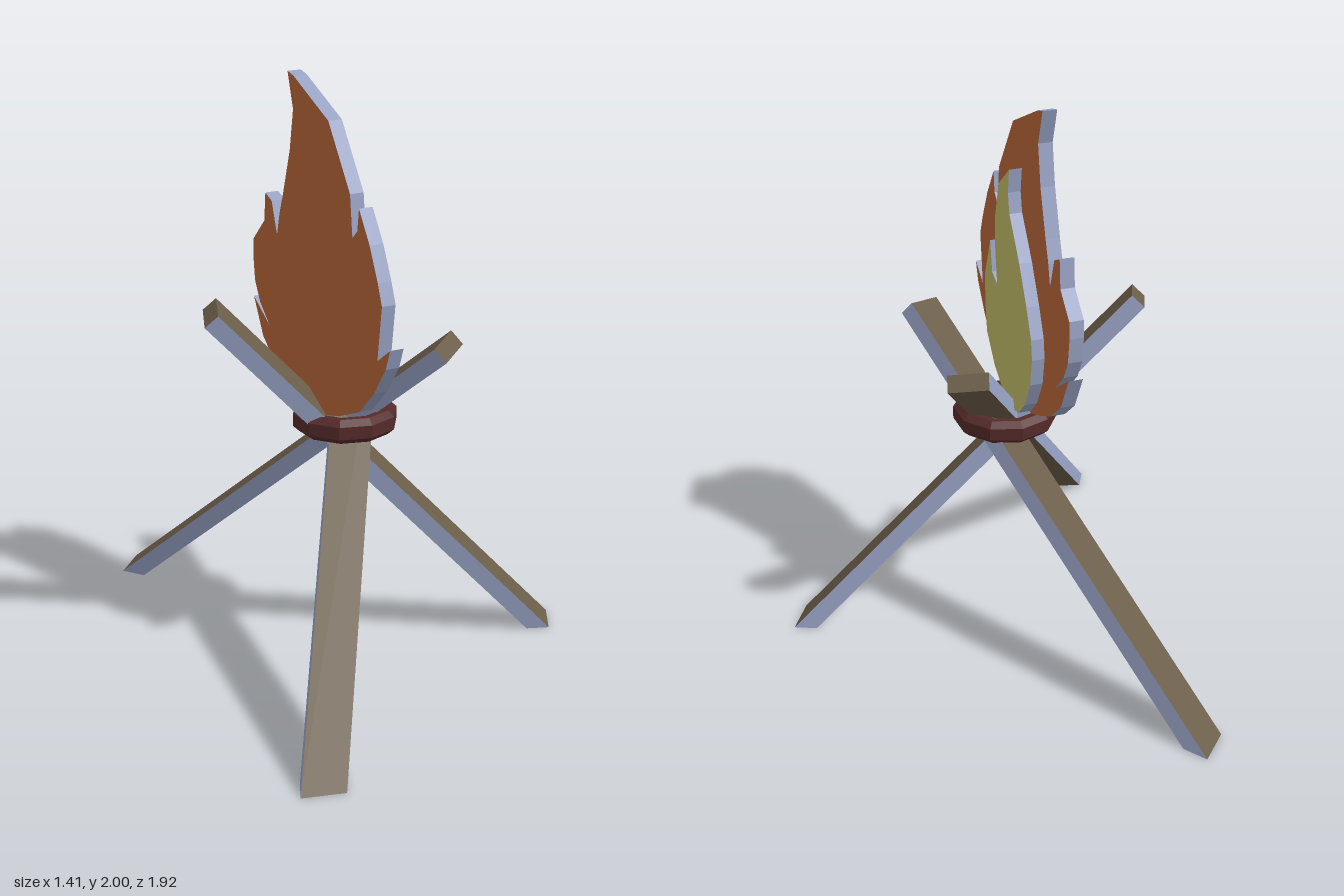
import * as THREE from 'three';

const paint = (color) => new THREE.MeshStandardMaterial({ color, flatShading: true });

// Square-cut log leaning from its ground point to its tip; the foot is cut level with the ground.
function makeLog(name, foot, tip, roll, faceMat, sideMat) {
  const width = 0.14, thickness = 0.06;
  const base = new THREE.Vector3(...foot);
  const d = new THREE.Vector3(...tip).sub(base);
  const length = d.length();
  d.normalize();
  const u = new THREE.Vector3(0, 1, 0).cross(d).normalize().applyAxisAngle(d, roll);
  const v = u.clone().cross(d);

  const geo = new THREE.BoxGeometry(width, 1, thickness);
  const pos = geo.attributes.position;
  const p = new THREE.Vector3();
  for (let i = 0; i < pos.count; i++) {
    const isTip = pos.getY(i) > 0;
    p.copy(base).addScaledVector(u, pos.getX(i)).addScaledVector(v, pos.getZ(i));
    // tips are square, feet slide along the log until they touch the ground
    p.addScaledVector(d, isTip ? length : -p.y / d.y);
    pos.setXYZ(i, p.x, p.y, p.z);
  }
  geo.computeVertexNormals();
  const mesh = new THREE.Mesh(geo, [sideMat, sideMat, faceMat, faceMat, faceMat, faceMat]);
  mesh.name = name;
  return mesh;
}

// Flat flame cut-out, outline given as [z, y], standing in a plane facing x.
function makeFlame(name, outline, x, depth, faceMat, sideMat) {
  const shape = new THREE.Shape(outline.map(([z, y]) => new THREE.Vector2(-z, y)));
  const geo = new THREE.ExtrudeGeometry(shape, { depth, bevelEnabled: false });
  geo.rotateY(Math.PI / 2);
  const mesh = new THREE.Mesh(geo, [faceMat, sideMat]);
  mesh.position.x = x;
  mesh.name = name;
  return mesh;
}

export function createModel() {
  const model = new THREE.Group();
  model.name = 'tripodTorch';
  const wood = paint(0x6b5d49);
  const edge = paint(0x98a2c4);
  const rope = paint(0x552a2a);
  const orange = paint(0xb8673a);
  const yellow = paint(0xc0bc66);

  // Three crossing logs
  model.add(
    makeLog('leftLog', [0.62, 0, 0.27], [-0.515, 1.255, -0.03], -0.22, wood, edge),
    makeLog('frontLog', [-0.62, 0, 0.88], [0.175, 1.14, -0.235], 0.2, wood, edge),
    makeLog('backLog', [-0.42, 0, -0.885], [0.145, 1.145, 0.38], 0.25, wood, edge),
  );

  // Faceted binding ring around the crossing
  const profile = [
    [0.115, -0.022], [0.135, -0.042], [0.158, -0.042], [0.18, -0.022],
    [0.18, 0.022], [0.158, 0.042], [0.135, 0.042], [0.115, 0.022], [0.115, -0.022],
  ].map(([r, y]) => new THREE.Vector2(r, y));
  const ring = new THREE.Mesh(new THREE.LatheGeometry(profile, 10), rope);
  ring.position.set(-0.06, 0.843, 0.06);
  ring.name = 'bindingRing';
  model.add(ring);

  // Large outer flame
  model.add(makeFlame('outerFlame', [
    [0.06, 0.87], [0.2, 0.905], [0.33, 0.96], [0.42, 1.05], [0.49, 1.15], [0.515, 1.22],
    [0.44, 1.165], [0.465, 1.35], [0.44, 1.42], [0.39, 1.53], [0.325, 1.635], [0.315, 1.56],
    [0.285, 1.53], [0.27, 1.67], [0.135, 1.88], [-0.09, 1.99], [-0.13, 2.0], [-0.095, 1.88],
    [-0.12, 1.74], [-0.17, 1.58], [-0.195, 1.51], [-0.215, 1.43], [-0.25, 1.54], [-0.295, 1.56],
    [-0.305, 1.46], [-0.385, 1.38], [-0.39, 1.32], [-0.38, 1.23], [-0.345, 1.16], [-0.275, 1.09],
    [-0.39, 1.17], [-0.37, 1.13], [-0.325, 1.04], [-0.24, 0.965], [-0.15, 0.92], [-0.06, 0.885],
  ], -0.165, 0.05, orange, edge));

  // Small inner flame on its left face
  model.add(makeFlame('innerFlame', [
    [0.05, 0.87], [0.19, 0.96], [0.27, 1.06], [0.285, 1.16], [0.29, 1.27], [0.235, 1.42],
    [0.215, 1.31], [0.165, 1.285], [0.185, 1.42], [0.185, 1.53], [0.15, 1.66], [0.05, 1.745],
    [0.06, 1.66], [0.045, 1.59], [-0.05, 1.45], [-0.12, 1.32], [-0.165, 1.22], [-0.175, 1.15],
    [-0.16, 1.05], [-0.11, 0.95], [-0.05, 0.89],
  ], -0.115, 0.045, yellow, edge));

  return model;
}
